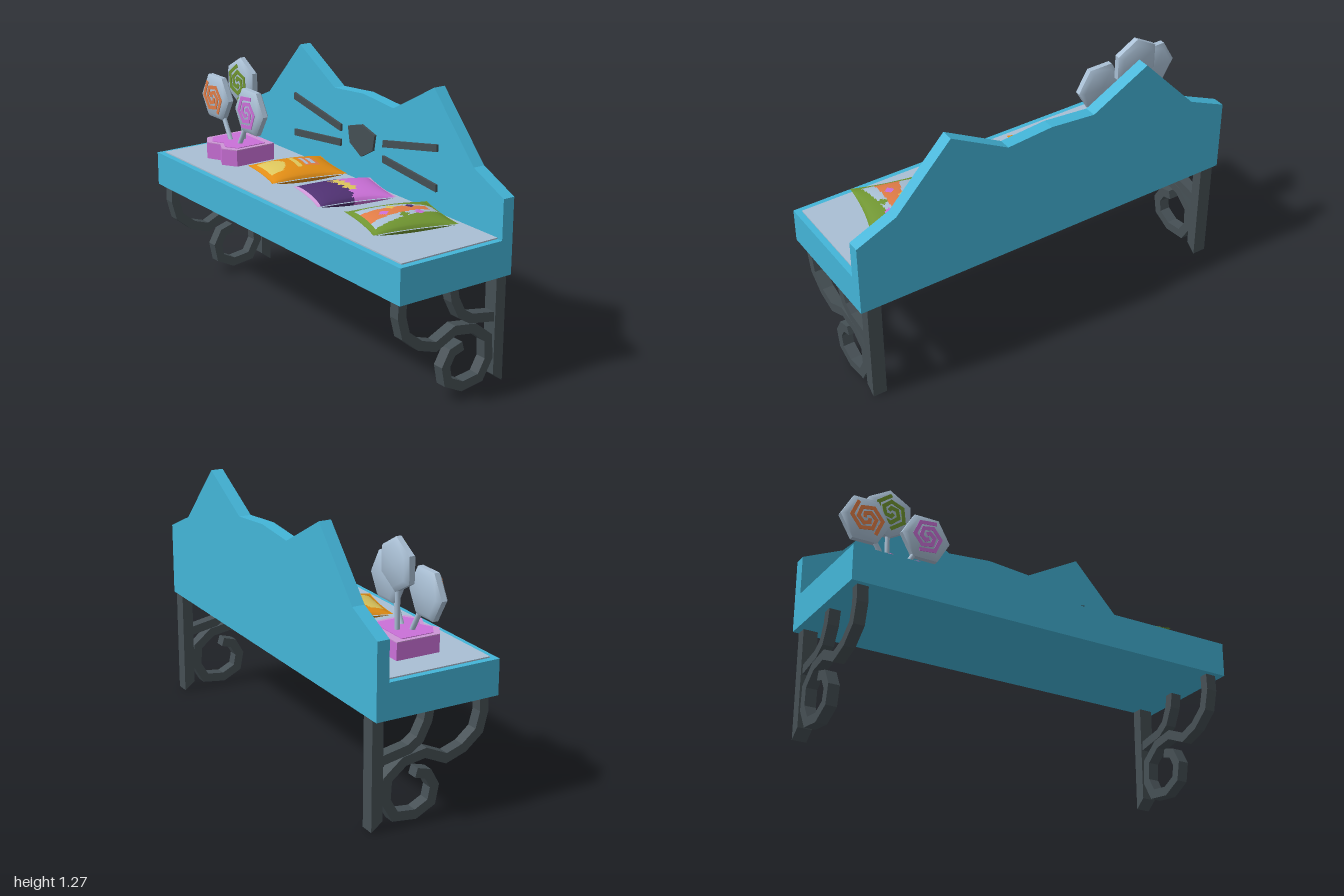
import * as THREE from 'three';
import { toCreasedNormals } from 'three/addons/utils/BufferGeometryUtils.js';

const mat = (name, color) => new THREE.MeshStandardMaterial({ name, color });
const M = {
  blue: mat('blue paint', 0x43b5d8), iron: mat('dark iron', 0x454f54), grey: mat('pale grey', 0xa9bfd4),
  pink: mat('pink', 0xcb70d8), pale: mat('pale pink', 0xcd96d6), purple: mat('purple', 0x4e3070),
  orange: mat('orange', 0xe08c14), coral: mat('coral', 0xe07c46), green: mat('green', 0x6f9430), yellow: mat('yellow', 0xdcc55c),
};

function add(parent, name, geometry, material, x = 0, y = 0, z = 0) {
  const m = new THREE.Mesh(geometry, material);
  m.name = name;
  m.position.set(x, y, z);
  parent.add(m);
  return m;
}

function group(parent, name) {
  const g = new THREE.Group();
  g.name = name;
  parent.add(g);
  return g;
}

const box = (w, h, d) => new THREE.BoxGeometry(w, h, d);
const vec = (pts) => pts.map(([x, y]) => new THREE.Vector2(x, y));
const extrude = (pts, depth) =>
  new THREE.ExtrudeGeometry(new THREE.Shape(vec(pts)), { depth, bevelEnabled: false });

// Mitred band of constant width along a polyline
function band(path, width, depth) {
  const p = vec(path), left = [], right = [];
  p.forEach((c, i) => {
    const a = c.clone().sub(p[Math.max(i - 1, 0)]).normalize();
    const b = p[Math.min(i + 1, p.length - 1)].clone().sub(c).normalize();
    const t = a.clone().add(b).normalize();
    const cos = Math.max(0.6, t.dot(i ? a : b));
    const n = new THREE.Vector2(-t.y, t.x).multiplyScalar(width / 2 / cos);
    left.push([c.x + n.x, c.y + n.y]);
    right.unshift([c.x - n.x, c.y - n.y]);
  });
  return extrude([...left, ...right], depth);
}

// Turns a (z, y) profile so that its depth lies along x, centred
const sideways = (geo, depth) => geo.rotateY(-Math.PI / 2).translate(depth / 2, 0, 0);

// Candy packet: pinched pillow, coloured by a rule over u, v in -1..1
function packet(parent, name, x, z, turn, w, h, paint) {
  const N = 48, pos = [], faces = new Map();
  for (const side of [1, -1]) {
    const base = pos.length / 3;
    for (let j = 0; j <= N; j++) for (let i = 0; i <= N; i++) {
      const u = i / N * 2 - 1, v = j / N * 2 - 1;
      const vv = Math.min(1, Math.abs(v) / 0.94);
      const puff = Math.pow((1 - u * u) * (1 - vv * vv), 0.55);
      pos.push(w / 2 * u * (1 - 0.1 * (1 - v * v)), side * (0.002 + 0.044 * puff),
        h / 2 * v * (1 - 0.05 * (1 - u * u)));
    }
    for (let j = 0; j < N; j++) for (let i = 0; i < N; i++) {
      const a = base + j * (N + 1) + i, b = a + 1, c = a + N + 1, d = c + 1;
      const m = paint((i + 0.5) / N * 2 - 1, (j + 0.5) / N * 2 - 1, side > 0);
      if (!faces.has(m)) faces.set(m, []);
      faces.get(m).push(...(side > 0 ? [a, c, b, b, c, d] : [a, b, c, b, d, c]));
    }
  }
  const geo = new THREE.BufferGeometry(), index = [];
  geo.setAttribute('position', new THREE.Float32BufferAttribute(pos, 3));
  [...faces.values()].forEach((f, k) => {
    geo.addGroup(index.length, f.length, k);
    for (const n of f) index.push(n);
  });
  geo.setIndex(index);
  geo.computeVertexNormals();
  add(parent, name, geo, [...faces.keys()], x, 0.74, z).rotation.y = turn;
}

const inBox = (u, v, cu, cv, hu, hv) => Math.abs(u - cu) < hu && Math.abs(v - cv) < hv;

function paintOrange(u, v, top) {
  if (!top) return M.orange;
  if (inBox(u, v, 0.03, -0.28, 0.42, 0.2))
    return inBox(u, v, 0.05, -0.36, 0.3, 0.05) || inBox(u, v, 0.05, -0.18, 0.34, 0.04) ? M.grey : M.coral;
  if (inBox(u, v, 0, 0.06, 0.52, 0.07)) return M.yellow;
  if (v < 0.86 && v > 0.34 + 0.6 * (u + 0.1) ** 2 && Math.abs(u + 0.1) < 0.62) return M.yellow;
  return M.orange;
}

function paintPurple(u, v, top) {
  const jag = 0.08 * Math.sin(u * 23);
  if (top && Math.abs(v - 0.05 + 0.22 * u) < 0.13 + jag * 0.6 && Math.abs(u + jag) < 0.5) return M.yellow;
  if (Math.abs(v) > 0.92) return M.pale;
  return v < 0.04 + jag * 0.3 ? M.pink : M.purple;
}

function paintGreen(u, v, top) {
  if (!top || Math.abs(v) > 0.88) return M.green;
  const dots = [[-0.2, -0.28, M.purple], [0.32, -0.34, M.pink], [-0.3, 0.18, M.yellow], [0.05, 0.45, M.pink], [0.4, 0.05, M.green]];
  for (const [a, b, m] of dots) if (Math.abs(u - a) / 0.17 + Math.abs(v - b) / 0.13 < 1) return m;
  const w = 0.2 + 0.29 * (v + 1);
  if (Math.abs(u) < w * 0.5 && v > -0.66) return M.coral;
  return Math.abs(u) < w ? M.grey : M.green;
}

// Hexagonal lollipop leaning by an angle, with a double spiral on its front
function lollipop(parent, name, color, x, y, z, lean, stick) {
  const g = group(parent, name);
  g.position.set(x, y, z);
  g.rotation.z = lean;
  const profile = vec([[0, -0.03], [0.1, -0.03], [0.125, -0.013], [0.125, 0.013], [0.1, 0.03], [0, 0.03]]);
  add(g, 'candyDisc', toCreasedNormals(new THREE.LatheGeometry(profile, 6).rotateX(Math.PI / 2), 0.8), M.grey);
  for (const start of [0, Math.PI]) {
    const path = [];
    for (let k = 0; k < 8; k++) {
      const a = start + Math.PI / 2 + k * Math.PI / 3, r = 0.088 - 0.0108 * k;
      path.push([r * Math.cos(a), r * Math.sin(a)]);
    }
    add(g, 'swirl', band(path, 0.018, 0.004), color, 0, 0, 0.029);
  }
  add(g, 'stick', new THREE.CylinderGeometry(0.012, 0.012, stick, 8), M.grey, 0, -0.1 - stick / 2, 0);
}

export function createModel() {
  const model = new THREE.Group();
  model.name = 'candyBench';

  // Seat and pointed backrest
  add(model, 'seat', box(2, 0.17, 0.56), M.blue, 0, 0.605, 0.03);
  add(model, 'seatPanel', box(1.94, 0.012, 0.53), M.grey, 0, 0.69, 0.015);
  const crest = [[1, 0.88], [0.8, 0.97], [0.52, 1.27], [0.23, 1.11]];
  const back = [[-1, 0.52], [1, 0.52], ...crest, [0, 1.13], ...crest.map(([x, y]) => [-x, y]).reverse()];
  add(model, 'backrest', extrude(back, 0.06), M.blue, 0, 0, -0.31);

  // Nose and whiskers
  const nose = [[-0.105, 0.95], [0, 0.98], [0.105, 0.95], [0.09, 0.87], [0, 0.82], [-0.09, 0.87]];
  add(model, 'nose', extrude(nose, 0.012), M.iron, 0, 0, -0.25);
  for (const s of [-1, 1]) for (const [a, b] of [[0.925, 1], [0.85, 0.81]]) {
    const h = 0.017, xa = s * 0.166, xb = s * 0.56;
    add(model, 'whisker', extrude([[xa, a - h], [xb, b - h], [xb, b + h], [xa, a + h]], 0.012), M.iron, 0, 0, -0.25);
  }

  // Iron legs with scrolls
  const scroll = [[0.263, 0.523], [0.266, 0.442], [0.243, 0.354], [0.165, 0.29], [0.074, 0.26], [-0.034, 0.31],
    [-0.142, 0.293], [-0.226, 0.226], [-0.232, 0.125], [-0.186, 0.044], [-0.081, 0.03], [0, 0.07],
    [0.015, 0.145], [-0.02, 0.208], [-0.08, 0.226]];
  const brace = [[-0.015, 0.523], [-0.028, 0.455], [-0.066, 0.38], [-0.12, 0.345], [-0.26, 0.32]];
  const post = [[-0.31, 0], [-0.255, 0.042], [-0.255, 0.52], [-0.31, 0.52]];
  for (const s of [-1, 1]) {
    const leg = group(model, s > 0 ? 'leftLeg' : 'rightLeg');
    leg.position.x = s * 0.935;
    add(leg, 'post', sideways(extrude(post, 0.07), 0.07), M.iron);
    add(leg, 'scroll', sideways(band(scroll, 0.045, 0.055), 0.055), M.iron);
    add(leg, 'brace', sideways(band(brace, 0.045, 0.055), 0.055), M.iron);
  }

  // Lollipop stand: notched block with a pale rim
  const stand = [[-0.14, 0.1], [0.14, 0.1], [0.14, -0.12], [0.07, -0.165], [0, -0.13], [-0.07, -0.165], [-0.14, -0.12]];
  const inner = stand.map(([x, y]) => [x * 0.84, y * (y > 0 ? 0.6 : 0.84)]);
  const flat = (pts, d) => extrude(pts, d).rotateX(-Math.PI / 2);
  add(model, 'stand', flat(stand, 0.085), M.pink, -0.68, 0.692, 0);
  add(model, 'standRim', flat(stand, 0.004), M.pale, -0.68, 0.777, 0);
  add(model, 'standTop', flat(inner, 0.004), M.pink, -0.68, 0.78, 0);
  lollipop(model, 'orangeLollipop', M.coral, -0.832, 0.98, 0.045, 0.53, 0.15);
  lollipop(model, 'greenLollipop', M.green, -0.685, 1.08, -0.013, 0, 0.22);
  lollipop(model, 'pinkLollipop', M.pink, -0.52, 0.97, 0.045, -0.53, 0.14);

  // Candy packets
  packet(model, 'orangePacket', -0.214, -0.015, -0.2, 0.315, 0.39, paintOrange);
  packet(model, 'purplePacket', 0.193, 0, -0.25, 0.315, 0.39, paintPurple);
  packet(model, 'greenPacket', 0.626, 0.012, -0.25, 0.33, 0.405, paintGreen);
  return model;
}
